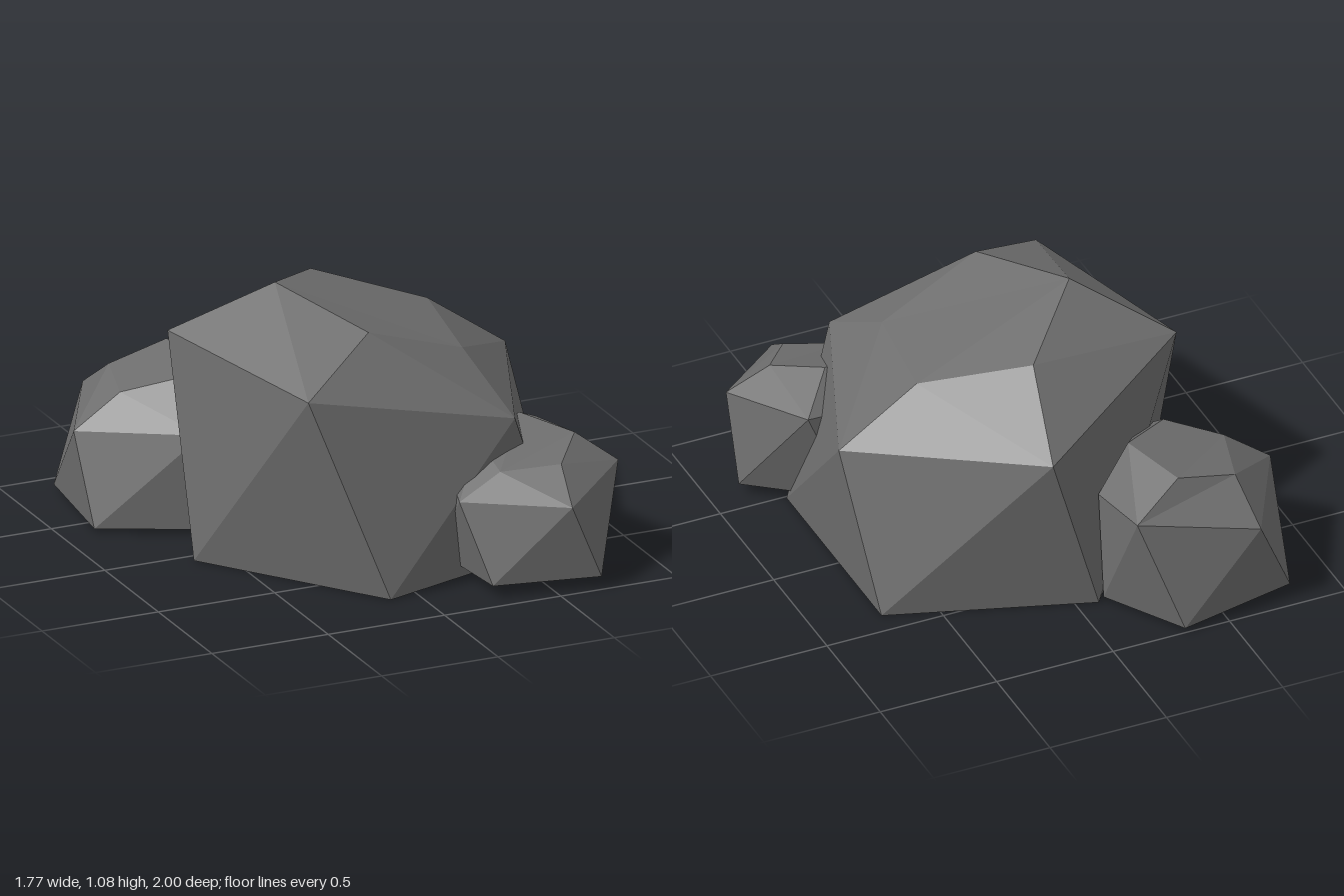
import * as THREE from 'three';

const stone = new THREE.MeshStandardMaterial({ color: 0x6e6e6e, flatShading: true, side: THREE.DoubleSide });
stone.name = 'grey stone';

// Faceted open-bottomed boulder from three five-point rings:
// a crown, a shoulder, and a base whose points sit between the shoulder points.
function boulder(name, crown, shoulder, base) {
  const vec = (p) => new THREE.Vector3(...p);
  const [T, R, B] = [crown, shoulder, base].map((ring) => ring.map(vec));
  const centre = new THREE.Vector3();
  B.forEach((p) => centre.addScaledVector(p, 0.2));
  const out = [];
  const tri = (...pts) => pts.forEach((p) => out.push(p.x, p.y, p.z));
  const reach = (a, b) => a.clone().lerp(b, 0.5).distanceTo(centre);
  // split each quad along its outer diagonal so the facet stays convex
  const quad = (a, b, c, d) => {
    if (reach(a, c) > reach(b, d)) { tri(a, b, c); tri(a, c, d); }
    else { tri(a, b, d); tri(b, c, d); }
  };
  for (let i = 0; i < 5; i++) {
    const n = (i + 1) % 5, p = (i + 4) % 5;
    if (i > 0 && i < 4) tri(T[0], T[i], T[i + 1]); // crown facet
    quad(T[i], R[i], R[n], T[n]);                  // sloping upper facet
    tri(R[i], B[i], R[n]);                         // side facets
    tri(R[i], B[p], B[i]);
  }
  const geometry = new THREE.BufferGeometry();
  geometry.setAttribute('position', new THREE.Float32BufferAttribute(out, 3));
  geometry.computeVertexNormals();
  const mesh = new THREE.Mesh(geometry, stone);
  mesh.name = name;
  return mesh;
}

export function createModel() {
  const group = new THREE.Group();
  group.name = 'rockCluster';

  group.add(boulder('largeBoulder',
    [[-0.26, 1.08, -0.02], [-0.06, 0.99, 0.42], [0.38, 0.83, 0.34], [0.45, 0.86, -0.14], [0.05, 0.97, -0.36]],
    [[-0.62, 0.86, -0.24], [-0.41, 0.82, 0.62], [0.45, 0.64, 0.68], [0.78, 0.63, -0.13], [0.12, 0.72, -0.7]],
    [[-0.64, 0, 0.05], [-0.12, 0, 0.76], [0.72, 0, 0.49], [0.72, 0, -0.4], [-0.09, 0, -0.67]]));

  group.add(boulder('backBoulder',
    [[-0.7, 0.52, -0.51], [-0.49, 0.585, -0.4], [-0.27, 0.63, -0.55], [-0.37, 0.59, -0.8], [-0.62, 0.53, -0.79]],
    [[-0.89, 0.38, -0.53], [-0.5, 0.42, -0.18], [-0.12, 0.46, -0.6], [-0.15, 0.49, -0.9], [-0.64, 0.39, -0.99]],
    [[-0.87, 0.02, -0.38], [-0.41, 0.02, -0.16], [-0.11, 0.02, -0.67], [-0.31, 0.02, -1], [-0.81, 0.02, -0.89]]));

  group.add(boulder('frontBoulder',
    [[0.35, 0.46, 0.76], [0.58, 0.48, 0.83], [0.72, 0.53, 0.65], [0.56, 0.58, 0.48], [0.35, 0.52, 0.55]],
    [[0.17, 0.365, 0.77], [0.55, 0.36, 1], [0.88, 0.41, 0.71], [0.71, 0.48, 0.31], [0.28, 0.42, 0.38]],
    [[0.25, 0.05, 0.91], [0.68, 0.05, 0.99], [0.88, 0.05, 0.59], [0.53, 0.05, 0.32], [0.21, 0.05, 0.46]]));

  return group;
}
